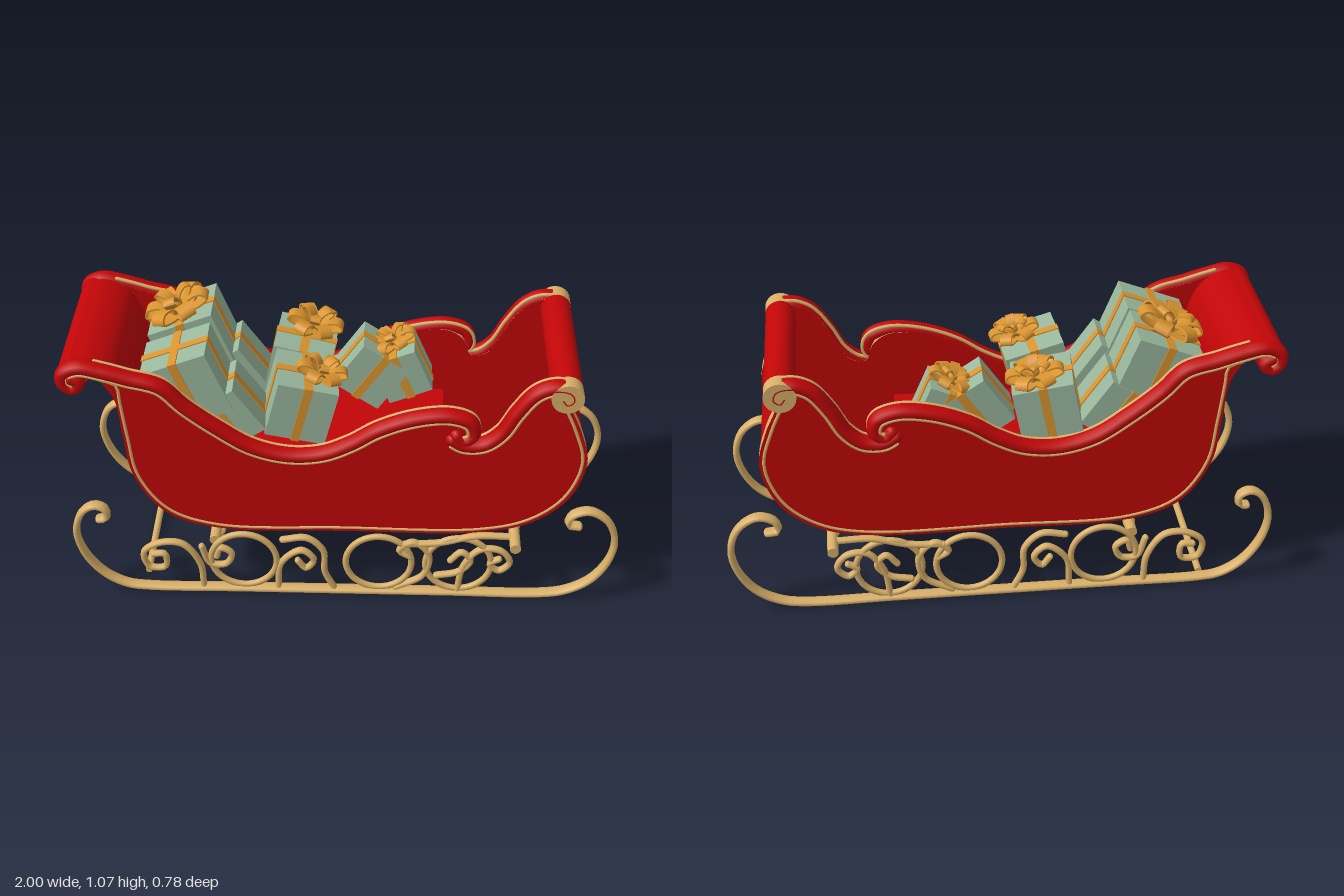
import * as THREE from 'three';
import { toCreasedNormals } from 'three/addons/utils/BufferGeometryUtils.js';

const mat = (name, color) => Object.assign(new THREE.MeshStandardMaterial({ color }), { name });

export function createModel() {
  const red = mat('red paint', 0xc20507), gold = mat('pale gold', 0xd8af68);
  const green = mat('green wrapping', 0x9ab89e), ribbon = mat('amber ribbon', 0xd99430);
  const root = new THREE.Group();

  const add = (parent, name, geo, material, x = 0, y = 0, z = 0) => {
    const m = new THREE.Mesh(geo, material);
    m.name = name;
    m.position.set(x, y, z);
    parent.add(m);
    return m;
  };
  const spline = (pts, closed = false) =>
    new THREE.CatmullRomCurve3(pts.map(p => new THREE.Vector3(p[0], p[1], 0)), closed, 'centripetal');

  // Round rod along a planar path, flattened or widened in z, with rounded ends
  const rod = (parent, name, pts, r, rz, material, z) => {
    const g = new THREE.Group();
    g.name = name;
    add(g, name + 'Rod', new THREE.TubeGeometry(spline(pts), pts.length * 7, r, 10).scale(1, 1, rz / r), material);
    for (const p of [pts[0], pts[pts.length - 1]])
      add(g, name + 'End', new THREE.SphereGeometry(r, 10, 8).scale(1, 1, rz / r), material, p[0], p[1]);
    g.position.z = z;
    parent.add(g);
  };

  // Points along a path moved sideways by d
  const offset = (curve, d, t0, t1, n) => Array.from({ length: n + 1 }, (_, i) => {
    const t = t0 + (t1 - t0) * i / n, p = curve.getPoint(t), v = curve.getTangent(t);
    return [p.x - v.y * d, p.y + v.x * d];
  });

  // Bent sheet with even thickness, centred on z
  const sheet = (curve, thick, depth, n) => {
    const pts = [...offset(curve, thick / 2, 0, 1, n), ...offset(curve, -thick / 2, 0, 1, n).reverse()];
    const shape = new THREE.Shape(pts.map(p => new THREE.Vector2(...p)));
    const g = new THREE.ExtrudeGeometry(shape, { depth, bevelEnabled: false }).translate(0, 0, -depth / 2);
    return toCreasedNormals(g, 0.6);
  };
  const zBar = (parent, name, x, y, z, r, len, material) =>
    add(parent, name, new THREE.CylinderGeometry(r, r, len, 24).rotateX(Math.PI / 2), material, x, y, z);

  // ---- Body ----
  const body = new THREE.Group();
  body.name = 'body';
  root.add(body);

  const hull = spline([[-0.95, 0.985], [-0.9, 0.985], [-0.83, 0.95], [-0.785, 0.87], [-0.765, 0.7], [-0.74, 0.53],
    [-0.64, 0.375], [-0.47, 0.308], [0, 0.303], [0.49, 0.308], [0.66, 0.355], [0.78, 0.46], [0.838, 0.62],
    [0.80, 0.76], [0.76, 0.86]]);
  add(body, 'hullSheet', sheet(hull, 0.028, 0.526, 80), red);
  zBar(body, 'backRoll', -0.94, 0.945, 0, 0.055, 0.55, red);
  zBar(body, 'frontRoll', 0.765, 0.905, 0, 0.056, 0.53, red);
  add(body, 'seat', new THREE.BoxGeometry(1.06, 0.05, 0.53), red, -0.17, 0.505, 0);
  add(body, 'seatFront', new THREE.BoxGeometry(0.03, 0.2, 0.53), red, 0.345, 0.4, 0);

  // Side panel outline
  const outline = spline([[-0.85, 0.965], [-0.74, 0.945], [-0.64, 0.91], [-0.56, 0.83], [-0.45, 0.74], [-0.33, 0.66],
    [-0.2, 0.625], [-0.08, 0.635], [0.02, 0.68], [0.12, 0.745], [0.25, 0.795], [0.37, 0.80], [0.43, 0.76], [0.46, 0.69],
    [0.52, 0.70], [0.57, 0.78], [0.62, 0.87], [0.68, 0.925], [0.75, 0.945], [0.785, 0.9], [0.785, 0.85], [0.823, 0.76],
    [0.857, 0.62], [0.802, 0.45], [0.675, 0.34], [0.49, 0.29], [0, 0.285], [-0.47, 0.29], [-0.65, 0.357],
    [-0.757, 0.52], [-0.783, 0.7], [-0.8, 0.86]], true);
  const panelShape = new THREE.Shape(outline.getPoints(180).slice(0, -1).map(p => new THREE.Vector2(p.x, p.y)));
  const panelGeo = toCreasedNormals(
    new THREE.ExtrudeGeometry(panelShape, { depth: 0.045, bevelEnabled: false }).translate(0, 0, -0.0225), 0.6);

  // Scrolled top rails
  const railBack = [[-0.945, 0.945], [-0.92, 0.93], [-0.94, 0.9], [-0.972, 0.92], [-0.972, 0.96], [-0.92, 0.987],
    [-0.84, 0.972], [-0.75, 0.945], [-0.64, 0.912], [-0.56, 0.83], [-0.45, 0.74], [-0.33, 0.66], [-0.2, 0.625],
    [-0.08, 0.635], [0.02, 0.68], [0.12, 0.745], [0.25, 0.795], [0.37, 0.808], [0.44, 0.78], [0.45, 0.73],
    [0.415, 0.705], [0.39, 0.73]];
  const railFront = [[0.375, 0.71], [0.42, 0.685], [0.49, 0.69], [0.55, 0.74], [0.6, 0.83], [0.66, 0.91], [0.72, 0.937],
    [0.775, 0.927], [0.787, 0.897], [0.765, 0.88], [0.748, 0.9]];
  const edgeBead = [[-0.84, 0.94], [-0.79, 0.92], [-0.782, 0.85], [-0.767, 0.7], [-0.741, 0.523], [-0.642, 0.374],
    [-0.47, 0.306], [0, 0.301], [0.49, 0.306], [0.664, 0.354], [0.785, 0.458], [0.84, 0.62], [0.804, 0.76], [0.765, 0.85]];

  for (const s of [1, -1]) {
    add(body, 'sidePanel', panelGeo, [red, gold], 0, 0, s * 0.283);
    rod(body, 'edgeBead', edgeBead, 0.006, 0.005, gold, s * 0.305);
    for (const [pts, a, b, c, n] of [[railBack, 0.1, 0.27, 0.98, 44], [railFront, 0.02, 0.02, 0.9, 24]]) {
      rod(body, 'topRail', pts, 0.026, 0.033, red, s * 0.293);
      rod(body, 'outerRailBead', offset(spline(pts), -0.021, a, c, n), 0.0065, 0.0065, gold, s * 0.315);
      rod(body, 'innerRailBead', offset(spline(pts), 0.019, b, c, n), 0.007, 0.007, gold, s * 0.271);
    }
    zBar(body, 'frontRollCap', 0.765, 0.905, s * 0.295, 0.057, 0.06, gold);
  }

  // ---- Runners with scrollwork ----
  const runner = [[-0.9, 0.335], [-0.872, 0.34], [-0.872, 0.38], [-0.91, 0.398], [-0.955, 0.37], [-0.987, 0.28],
    [-0.965, 0.17], [-0.9, 0.075], [-0.82, 0.025], [-0.74, 0.013], [-0.4, 0.013], [0, 0.013], [0.4, 0.013],
    [0.72, 0.013], [0.82, 0.03], [0.91, 0.085], [0.97, 0.18], [0.985, 0.28], [0.95, 0.37], [0.88, 0.413],
    [0.82, 0.39], [0.81, 0.35], [0.85, 0.342]];
  const scrolls = [
    [[-0.53, 0.02], [-0.54, 0.13], [-0.6, 0.22], [-0.68, 0.225], [-0.745, 0.18], [-0.73, 0.11], [-0.67, 0.11], [-0.67, 0.17], [-0.71, 0.17]],
    [[-0.53, 0.21], [-0.5, 0.13], [-0.44, 0.13], [-0.42, 0.18], [-0.46, 0.205], [-0.475, 0.165]],
    [[-0.25, 0.02], [-0.235, 0.14], [-0.16, 0.2], [-0.115, 0.155], [-0.145, 0.115], [-0.175, 0.15]],
    [[-0.23, 0.25], [-0.14, 0.26], [-0.08, 0.2], [-0.075, 0.1], [-0.04, 0.02]],
    [[0.19, 0.03], [0.29, 0.09], [0.31, 0.19], [0.25, 0.25], [0.2, 0.21], [0.24, 0.18]],
    [[0.34, 0.09], [0.42, 0.11], [0.465, 0.165], [0.43, 0.205], [0.39, 0.165]],
    [[0.42, 0.02], [0.44, 0.14], [0.5, 0.22], [0.575, 0.215], [0.61, 0.16], [0.57, 0.12], [0.535, 0.155], [0.57, 0.175]],
    [[0.22, 0.24], [0.35, 0.25], [0.48, 0.285], [0.6, 0.285]],
  ];
  for (const s of [1, -1]) {
    const side = new THREE.Group();
    side.name = s > 0 ? 'frontRunner' : 'backRunner';
    side.position.z = s * 0.32;
    root.add(side);
    rod(side, 'runner', runner, 0.013, 0.024, gold, 0);
    for (const pts of scrolls) rod(side, 'scroll', pts, 0.012, 0.015, gold, 0);
    for (const x of [-0.375, 0.125, 0.42])
      add(side, 'hoop', new THREE.TorusGeometry(0.122, 0.012, 10, 40), gold, x, 0.15);
  }

  // Cross bars with rings and small leaves
  zBar(root, 'frontCrossBar', 0.62, 0.283, 0, 0.02, 0.78, gold);
  zBar(root, 'backCrossBar', -0.48, 0.232, 0, 0.02, 0.62, gold);
  zBar(root, 'floorBar', -0.75, 0.013, -0.027, 0.013, 0.525, gold);
  const leafGeo = new THREE.SphereGeometry(1, 12, 8).scale(0.024, 0.035, 0.011);
  for (const [x, y] of [[0.62, 0.283], [-0.48, 0.232]]) for (const s of [1, -1]) {
    add(root, 'barRing', new THREE.TorusGeometry(0.024, 0.008, 8, 24), gold, x, y, s * 0.19);
    for (const a of [-1, 1])
      add(root, 'barLeaf', leafGeo, gold, x + a * 0.008, y - 0.025, s * 0.185 + a * 0.02).rotation.x = -a * 0.7;
  }

  // ---- Presents ----
  const loopCurve = spline([[0.005, 0], [0.05, 0.04], [0.1, 0.045], [0.115, 0.022], [0.08, 0.006], [0.02, -0.002]]);
  const loopGeo = sheet(loopCurve, 0.007, 0.054, 18);
  const bow = (parent, size, x, y, z) => {
    const b = new THREE.Group();
    b.name = 'bow';
    b.position.set(x, y, z);
    b.scale.setScalar(size);
    for (let i = 0; i < 9; i++) {
      const inner = i > 5;
      const l = add(b, 'bowLoop', loopGeo, ribbon, 0, inner ? 0.015 : 0, 0);
      l.rotation.set(0, inner ? i * Math.PI * 2 / 3 + 0.5 : i * Math.PI / 3, inner ? 0.5 : 0.04);
      if (inner) l.scale.setScalar(0.75);
    }
    add(b, 'bowKnot', new THREE.SphereGeometry(0.022, 12, 8), ribbon, 0, 0.035, 0);
    parent.add(b);
  };
  // x, y, z, width, height, depth, tilt, turn, bow size, bow x, bow z
  const presents = [
    [-0.56, 0.835, 0.12, 0.25, 0.25, 0.21, 0.37, 0, 0],
    [-0.56, 0.845, -0.125, 0.25, 0.25, 0.22, 0.37, 0, 1.05, 0, 0.025],
    [-0.425, 0.706, 0.12, 0.2, 0.2, 0.2, 0.6, 0, 0],
    [-0.425, 0.706, -0.14, 0.2, 0.2, 0.2, 0.6, 0, 0],
    [-0.165, 0.745, 0.105, 0.22, 0.22, 0.23, -0.25, 0.08, 0.8, 0.045, 0.02],
    [-0.175, 0.735, -0.15, 0.22, 0.22, 0.23, -0.2, -0.08, 0.9, 0.02, -0.05],
    [0.085, 0.725, -0.13, 0.2, 0.2, 0.17, -0.6, 0, 0],
    [0.2, 0.725, -0.13, 0.17, 0.18, 0.16, 0.4, 0, 0.75, 0.01, -0.01],
  ];
  for (const [x, y, z, w, h, d, tilt, turn, bowSize, bowX, bowZ] of presents) {
    const p = new THREE.Group();
    p.name = 'present';
    p.position.set(x, y, z);
    p.rotation.set(0, turn, tilt);
    root.add(p);
    add(p, 'box', new THREE.BoxGeometry(w, h, d), green);
    add(p, 'lengthRibbon', new THREE.BoxGeometry(w + 0.008, h + 0.008, 0.032), ribbon);
    add(p, 'crossRibbon', new THREE.BoxGeometry(0.032, h + 0.008, d + 0.008), ribbon);
    if (bowSize) bow(p, bowSize, bowX, h / 2 + 0.008, bowZ);
  }
  return root;
}
